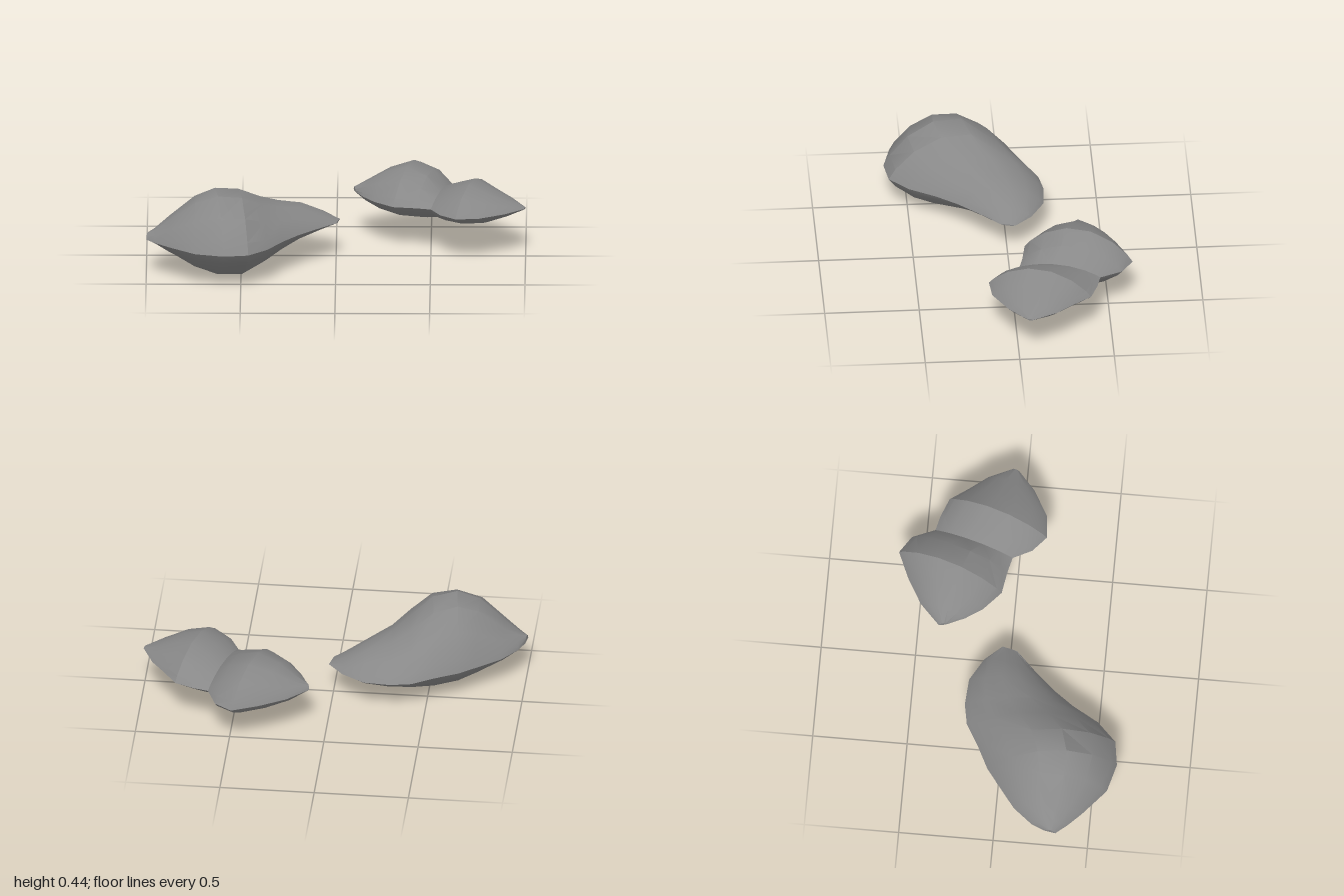
import * as THREE from 'three';
import { toCreasedNormals } from 'three/addons/utils/BufferGeometryUtils.js';

const SIDES = 14;

// Each station: back edge x, z, front edge x, z, top y, bottom y.
function rock(name, stations, waterline, material) {
  const pos = [], index = [];
  stations.forEach(([bx, bz, fx, fz, top, bottom]) => {
    for (let j = 0; j < SIDES; j++) {
      const a = (j / SIDES) * Math.PI * 2;
      const t = Math.cos(a), s = Math.sin(a);
      const k = (1 + t) / 2;
      const rise = Math.pow(Math.abs(s), 1.7);
      const y = s > 0 ? waterline + (top - waterline) * rise : waterline + (bottom - waterline) * rise;
      pos.push(bx + (fx - bx) * k, y, bz + (fz - bz) * k);
    }
  });
  // Skin between neighbouring sections
  for (let i = 0; i < stations.length - 1; i++) {
    for (let j = 0; j < SIDES; j++) {
      const n = (j + 1) % SIDES;
      const a = i * SIDES + j, b = a + SIDES, c = (i + 1) * SIDES + n, d = i * SIDES + n;
      index.push(a, b, c, a, c, d);
    }
  }
  // Small end caps
  const last = (stations.length - 1) * SIDES;
  for (let j = 1; j < SIDES - 1; j++) {
    index.push(0, j, j + 1, last, last + j + 1, last + j);
  }
  const geo = new THREE.BufferGeometry();
  geo.setAttribute('position', new THREE.Float32BufferAttribute(pos, 3));
  geo.setIndex(index);
  const mesh = new THREE.Mesh(toCreasedNormals(geo, 0.5), material);
  mesh.name = name;
  return mesh;
}

export function createModel() {
  const group = new THREE.Group();
  group.name = 'rocks';
  const stone = new THREE.MeshStandardMaterial({ color: 0x888888 });
  stone.name = 'stone grey';

  // Large rock with one peak and a long tapering tail
  group.add(rock('largeRock', [
    [-0.99, 0.27, -1.0, 0.33, 0.23, 0.2],
    [-0.96, 0.2, -0.95, 0.39, 0.25, 0.18],
    [-0.88, 0.1, -0.88, 0.46, 0.31, 0.13],
    [-0.75, 0.0, -0.74, 0.58, 0.42, 0.055],
    [-0.67, -0.06, -0.59, 0.62, 0.46, 0.01],
    [-0.55, -0.12, -0.46, 0.6, 0.44, 0.0],
    [-0.43, -0.19, -0.36, 0.5, 0.37, 0.045],
    [-0.32, -0.21, -0.28, 0.36, 0.325, 0.085],
    [-0.18, -0.2, -0.2, 0.25, 0.3, 0.13],
    [-0.06, -0.13, -0.1, 0.14, 0.25, 0.165],
    [0.02, -0.04, 0.0, 0.04, 0.202, 0.195],
  ], 0.2, stone));

  // Small rock with two ridges and a saddle between them
  group.add(rock('twinRock', [
    [0.09, -0.385, 0.1, -0.34, 0.275, 0.25],
    [0.2, -0.49, 0.14, -0.25, 0.315, 0.205],
    [0.34, -0.57, 0.2, -0.16, 0.375, 0.165],
    [0.48, -0.63, 0.3, -0.07, 0.415, 0.138],
    [0.57, -0.57, 0.42, -0.05, 0.375, 0.136],
    [0.62, -0.45, 0.5, -0.03, 0.305, 0.16],
    [0.7, -0.43, 0.55, 0.07, 0.345, 0.168],
    [0.8, -0.39, 0.63, 0.14, 0.385, 0.172],
    [0.87, -0.29, 0.75, 0.13, 0.345, 0.182],
    [0.94, -0.2, 0.89, 0.05, 0.295, 0.215],
    [1.0, -0.07, 0.99, -0.04, 0.26, 0.25],
  ], 0.255, stone));

  return group;
}
